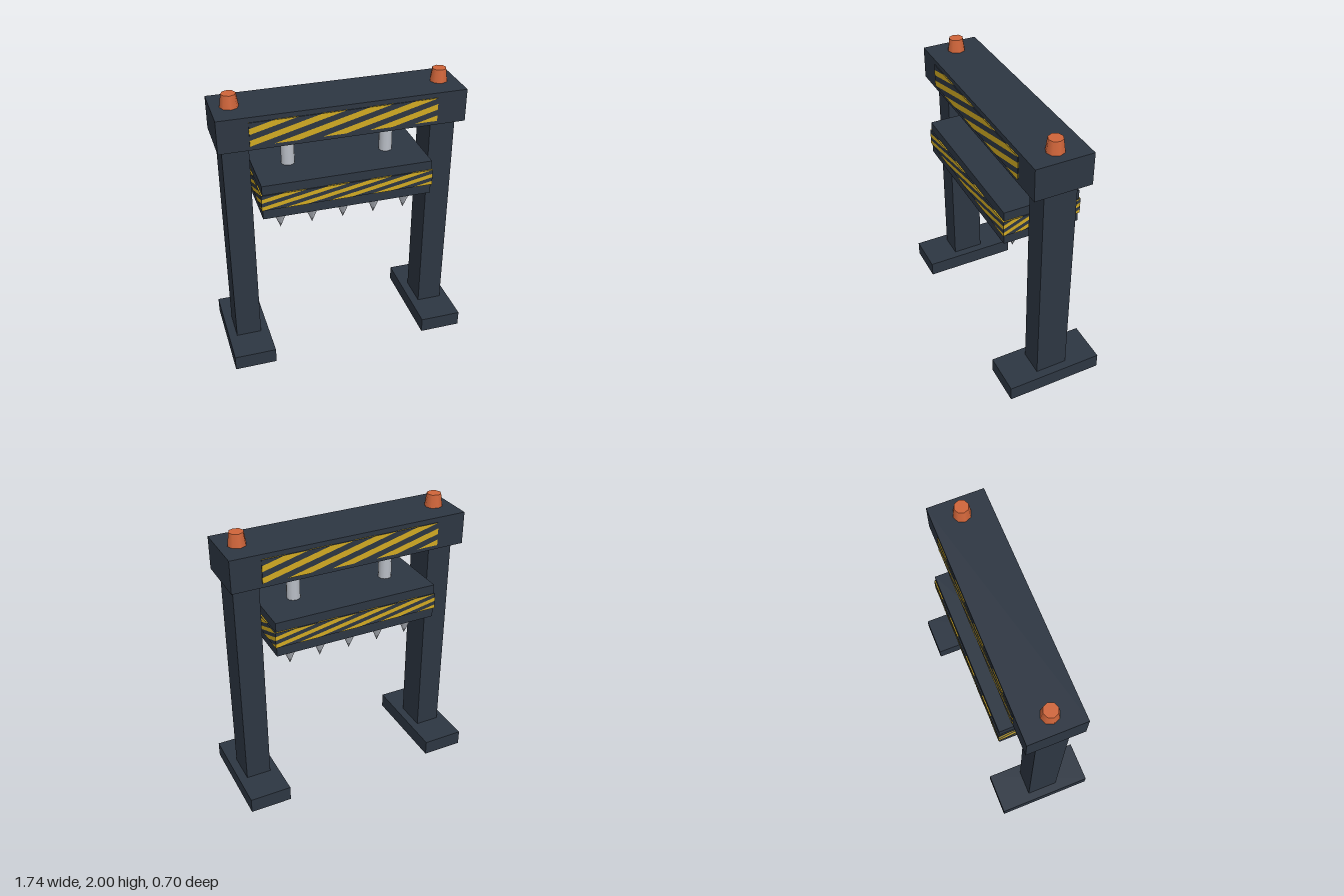
import * as THREE from 'three';

export function createModel() {
  const mat = (name, color) => Object.assign(new THREE.MeshStandardMaterial({ color }), { name });
  const darkSteel = mat('dark steel', 0x2d3642);
  const hazardYellow = mat('hazard yellow', 0xd0a922);
  const brightSteel = mat('bright steel', 0xb9bec6);
  const lampOrange = mat('lamp orange', 0xd0653a);

  const root = new THREE.Group();
  root.name = 'spikePress';

  const add = (name, geometry, material, x, y, z, parent = root) => {
    const mesh = new THREE.Mesh(geometry, material);
    mesh.name = name;
    mesh.position.set(x, y, z);
    parent.add(mesh);
    return mesh;
  };
  // Box given by its width, depth and bottom/top heights
  const block = (name, w, d, y0, y1, x = 0) =>
    add(name, new THREE.BoxGeometry(w, y1 - y0, d), darkSteel, x, (y0 + y1) / 2, 0);

  // Keep the part of a polygon on one side of u = limit
  const clip = (points, limit, sign) => points.flatMap((a, i) => {
    const b = points[(i + 1) % points.length];
    const da = sign * (limit - a.x), db = sign * (limit - b.x);
    const out = da >= 0 ? [a] : [];
    if (da * db < 0) out.push(a.clone().lerp(b, da / (da - db)));
    return out;
  });

  // Slanted stripes filling a w x h rectangle: four across, leaning half its width
  const stripes = (w, h) => {
    const shapes = [];
    for (let k = -2; k < 4; k++) {
      const u = (k + 0.5) / 4;
      let p = [[u, 0], [u + 0.125, 0], [u + 0.625, 1], [u + 0.5, 1]]
        .map(([x, y]) => new THREE.Vector2(x, y));
      p = clip(clip(p, 1, 1), 0, -1);
      if (p.length > 2) shapes.push(new THREE.Shape(p));
    }
    return new THREE.ShapeGeometry(shapes).translate(-0.5, -0.5, 0).scale(w, h, 1);
  };

  // Dark band with thin striped faces on every side
  const stripedBand = (name, w, d, y0, y1) => {
    const h = y1 - y0, group = new THREE.Group(), q = Math.PI / 2, gap = 0.0015;
    group.name = name;
    group.position.y = (y0 + y1) / 2;
    root.add(group);
    add(name + 'Core', new THREE.BoxGeometry(w, h, d), darkSteel, 0, 0, 0, group);
    const faces = [
      [w, h, d, 0, 0], [d, h, w, 0, q], [w, h, d, 0, 2 * q], [d, h, w, 0, -q],
      [w, d, h, -q, 0], [w, d, h, q, 0],
    ];
    for (const [fw, fh, depth, rx, ry] of faces) {
      const geometry = stripes(fw, fh).translate(0, 0, depth / 2 + gap).rotateX(rx).rotateY(ry);
      add(name + 'Stripes', geometry, hazardYellow, 0, 0, 0, group);
    }
  };

  // Frame, warning lamps and piston rods on both sides
  for (const s of [-1, 1]) {
    block('foot', 0.3, 0.7, 0, 0.11, s * 0.72);
    block('post', 0.18, 0.23, 0.11, 1.68, s * 0.72);
    add('warningLamp', new THREE.CylinderGeometry(0.05, 0.063, 0.09, 8), lampOrange, s * 0.72, 1.955, 0);
    add('pistonRod', new THREE.CylinderGeometry(0.047, 0.047, 0.24, 12), brightSteel, s * 0.35, 1.56, 0);
  }
  block('crossBeam', 1.69, 0.4, 1.68, 1.91);
  stripedBand('beamBand', 1.275, 0.411, 1.71, 1.875);

  // Press plate with its hazard band
  block('pressPlate', 1.185, 0.544, 1.195, 1.445);
  stripedBand('plateBand', 1.2, 0.56, 1.265, 1.378);

  // Two rows of spikes pointing down
  const spike = new THREE.ConeGeometry(0.067, 0.17, 8).rotateX(Math.PI);
  for (const z of [-0.136, 0.136])
    for (let i = -2; i <= 2; i++) add('spike', spike, brightSteel, i * 0.224, 1.11, z);

  return root;
}
